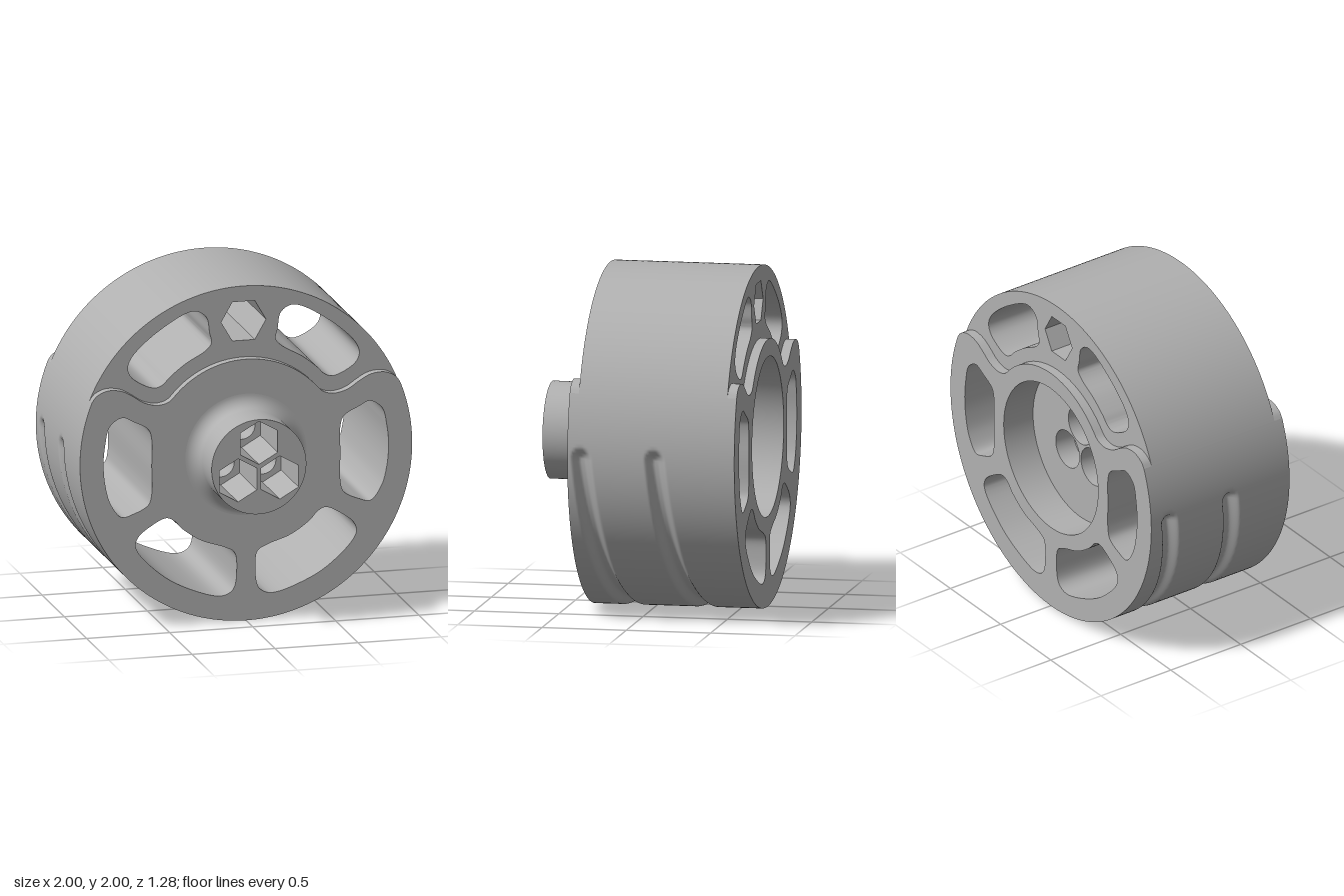
import * as THREE from 'three';
import { toCreasedNormals } from 'three/addons/utils/BufferGeometryUtils.js';

const V = (x, y) => new THREE.Vector2(x, y);
const TAU = Math.PI * 2;
const CY = 1;                                   // height of the wheel axis
const FRONT = 0.35, BACK = -0.64;               // thick lower body
const FRONT_UP = 0.295, BACK_UP = -0.585;       // thinner upper body
const CAVITY_R = 0.47, CAVITY_Z = -0.43;

function arc(cx, cy, r, a0, a1, n) {
  return Array.from({ length: n + 1 }, (_, i) => {
    const a = a0 + (a1 - a0) * i / n;
    return V(cx + r * Math.cos(a), cy + r * Math.sin(a));
  });
}
const ring = (cx, cy, r, n = 64, turn = 0) => arc(cx, cy, r, turn, turn + TAU, n).slice(0, -1);
const ccw = pts => (THREE.ShapeUtils.isClockWise(pts) ? pts.slice().reverse() : pts);
const mirror = pts => ccw(pts.map(p => V(-p.x, p.y)));

// Smooth closed outline through a few points
function outline(coords) {
  const curve = new THREE.CatmullRomCurve3(coords.map(([x, y]) => new THREE.Vector3(x, y, 0)), true);
  return ccw(curve.getPoints(84).slice(0, -1).map(p => V(p.x, p.y)));
}

// Flat face with holes, looking along +z or -z
function face(points, holes, z, toFront) {
  const shape = new THREE.Shape(points);
  shape.holes = holes.map(h => new THREE.Path(h));
  const g = new THREE.ShapeGeometry(shape);
  g.translate(0, 0, z);
  if (!toFront) {
    g.scale(1, 1, 1);
    const idx = g.index.array;
    for (let i = 0; i < idx.length; i += 3) [idx[i], idx[i + 1]] = [idx[i + 1], idx[i]];
    g.computeVertexNormals();
  }
  return g;
}

// Grid surface from rows of equal length
function grid(rows) {
  const pos = [], idx = [], m = rows[0].length;
  rows.forEach(r => r.forEach(p => pos.push(p[0], p[1], p[2])));
  for (let i = 0; i < rows.length - 1; i++) {
    for (let j = 0; j < m - 1; j++) {
      const a = i * m + j, b = a + m;
      idx.push(a, b, b + 1, a, b + 1, a + 1);
    }
  }
  const g = new THREE.BufferGeometry();
  g.setAttribute('position', new THREE.Float32BufferAttribute(pos, 3));
  g.setIndex(idx);
  g.computeVertexNormals();
  return g;
}

// Straight wall along z; faces outward for counter-clockwise points
function wall(points, z0, z1, closed = true, inward = false) {
  let pts = closed ? [...points, points[0]] : points;
  if (inward) pts = pts.slice().reverse();
  return toCreasedNormals(grid(pts.map(p => [[p.x, p.y, z0], [p.x, p.y, z1]])), 0.6);
}

// Depth of the two helical grooves that wrap the underside
function grooveDepth(angle, z) {
  let depth = 0;
  for (const start of [0.27, -0.165]) {
    const t = THREE.MathUtils.clamp(angle, Math.PI, TAU);
    const centre = start - 0.345 * (TAU - t) / Math.PI;
    const d = Math.hypot(angle - t, z - centre);
    depth = Math.max(depth, 0.05 * (1 - THREE.MathUtils.smoothstep(d, 0.01, 0.065)));
  }
  return depth;
}

export function createModel() {
  const group = new THREE.Group();
  const grey = new THREE.MeshStandardMaterial({ color: 0xb0b0b0 });
  grey.name = 'grey plastic';
  const add = (name, geometry) => {
    const mesh = new THREE.Mesh(geometry, grey);
    mesh.name = name;
    group.add(mesh);
  };

  // Wavy edge of the thick lower body, from right rim to left rim
  const edge = new THREE.SplineCurve([
    V(0.927, 1.375), V(0.9, 1.41), V(0.85, 1.435), V(0.8, 1.44), V(0.74, 1.428), V(0.68, 1.395),
    V(0.62, 1.355), V(0.56, 1.335), V(0.51, 1.333), V(0.46, 1.35), V(0.42, 1.39),
  ]).getPoints(40);
  const a0 = Math.atan2(0.375, 0.927), aHub = Math.atan2(0.39, 0.42);
  const step = [
    ...edge,
    ...arc(0, CY, 0.573, aHub, Math.PI - aHub, 40).slice(1, -1),
    ...edge.slice().reverse().map(p => V(-p.x, p.y)),
  ];
  const lowArc = arc(0, CY, 1, Math.PI - a0, TAU + a0, 200);
  const upArc = arc(0, CY, 1, a0, Math.PI - a0, 100);
  const lower = [...lowArc, ...step.slice(1, -1)];
  const upper = [...upArc, ...step.slice(1, -1).reverse()];

  // Through openings
  const upperWindow = outline([
    [0.30, 1.868], [0.225, 1.828], [0.205, 1.732], [0.194, 1.668], [0.23, 1.625], [0.35, 1.555],
    [0.445, 1.48], [0.488, 1.437], [0.54, 1.422], [0.67, 1.49], [0.697, 1.55], [0.67, 1.62], [0.5, 1.77],
  ]);
  const sideWindow = outline([
    [0.745, 1.271], [0.82, 1.223], [0.847, 1.12], [0.858, 1.0], [0.847, 0.87], [0.815, 0.756], [0.75, 0.672],
    [0.68, 0.686], [0.588, 0.735], [0.568, 0.80], [0.568, 0.97], [0.568, 1.13], [0.588, 1.19], [0.68, 1.243],
  ]);
  const lowerWindow = outline([
    [0.48, 0.649], [0.57, 0.608], [0.652, 0.54], [0.662, 0.477], [0.51, 0.31], [0.34, 0.212], [0.145, 0.157],
    [0.077, 0.193], [0.056, 0.316], [0.07, 0.415], [0.13, 0.45], [0.27, 0.50], [0.386, 0.579], [0.43, 0.627],
  ]);
  const hexHole = ring(0, 1.79, 0.135, 6);
  const highHoles = [upperWindow, mirror(upperWindow), hexHole];
  const lowHoles = [sideWindow, mirror(sideWindow), lowerWindow, mirror(lowerWindow)];
  const cavity = ring(0, CY, CAVITY_R, 96);
  const hubBase = ring(0, CY, 0.365, 96);

  // Wheel faces
  add('lowerFrontFace', face(lower, [...lowHoles, hubBase], FRONT, true));
  add('lowerBackFace', face(lower, [...lowHoles, cavity], BACK, false));
  add('upperFrontFace', face(upper, highHoles, FRONT_UP, true));
  add('upperBackFace', face(upper, highHoles, BACK_UP, false));
  add('frontStep', wall(step, FRONT_UP, FRONT, false));
  add('backStep', wall(step, BACK, BACK_UP, false));
  highHoles.forEach(h => add('upperOpeningWall', wall(h, BACK_UP, FRONT_UP, true, true)));
  lowHoles.forEach(h => add('lowerOpeningWall', wall(h, BACK, FRONT, true, true)));

  // Rim: plain above, grooved below
  add('upperRim', wall(upArc, BACK_UP, FRONT_UP, false));
  const rows = [];
  for (let i = 0; i <= 200; i++) {
    const a = Math.PI - a0 + (Math.PI + 2 * a0) * i / 200;
    rows.push(Array.from({ length: 121 }, (_, j) => {
      const z = BACK + (FRONT - BACK) * j / 120;
      const r = 1 - grooveDepth(a, z);
      return [r * Math.cos(a), CY + r * Math.sin(a), z];
    }));
  }
  add('groovedRim', grid(rows));

  // Hub with a fillet at its base
  const profile = Array.from({ length: 13 }, (_, i) => {
    const t = i / 12 * Math.PI / 2;
    return V(0.365 - 0.08 * Math.sin(t), FRONT + 0.08 * (1 - Math.cos(t)));
  });
  const hub = new THREE.LatheGeometry([...profile, V(0.285, 0.5), V(0.285, 0.64)], 96);
  hub.rotateX(Math.PI / 2);
  hub.translate(0, CY, 0);
  add('hub', hub);

  // Three hex sockets in front, with round bores and counterbores behind
  const centres = [0, 1, 2].map(i => {
    const a = Math.PI / 2 + i * TAU / 3;
    return [0.145 * Math.cos(a), CY + 0.145 * Math.sin(a)];
  });
  const sockets = centres.map(([x, y]) => ring(x, y, 0.13, 6, Math.PI / 2));
  const bores = centres.map(([x, y]) => ring(x, y, 0.081, 40));
  const counterbores = centres.map(([x, y]) => ring(x, y, 0.118, 40));
  const socketZ = 0.25, ledgeZ = -0.3;
  add('hubFace', face(ring(0, CY, 0.285, 96), sockets, 0.64, true));
  add('cavityWall', wall(cavity, BACK, CAVITY_Z, true, true));
  add('cavityFloor', face(cavity, counterbores, CAVITY_Z, false));
  for (let i = 0; i < 3; i++) {
    add('socketWall', wall(sockets[i], socketZ, 0.64, true, true));
    add('socketFloor', face(sockets[i], [bores[i]], socketZ, true));
    add('boreWall', wall(bores[i], ledgeZ, socketZ, true, true));
    add('counterboreWall', wall(counterbores[i], CAVITY_Z, ledgeZ, true, true));
    add('counterboreLedge', face(counterbores[i], [bores[i]], ledgeZ, false));
  }
  return group;
}
